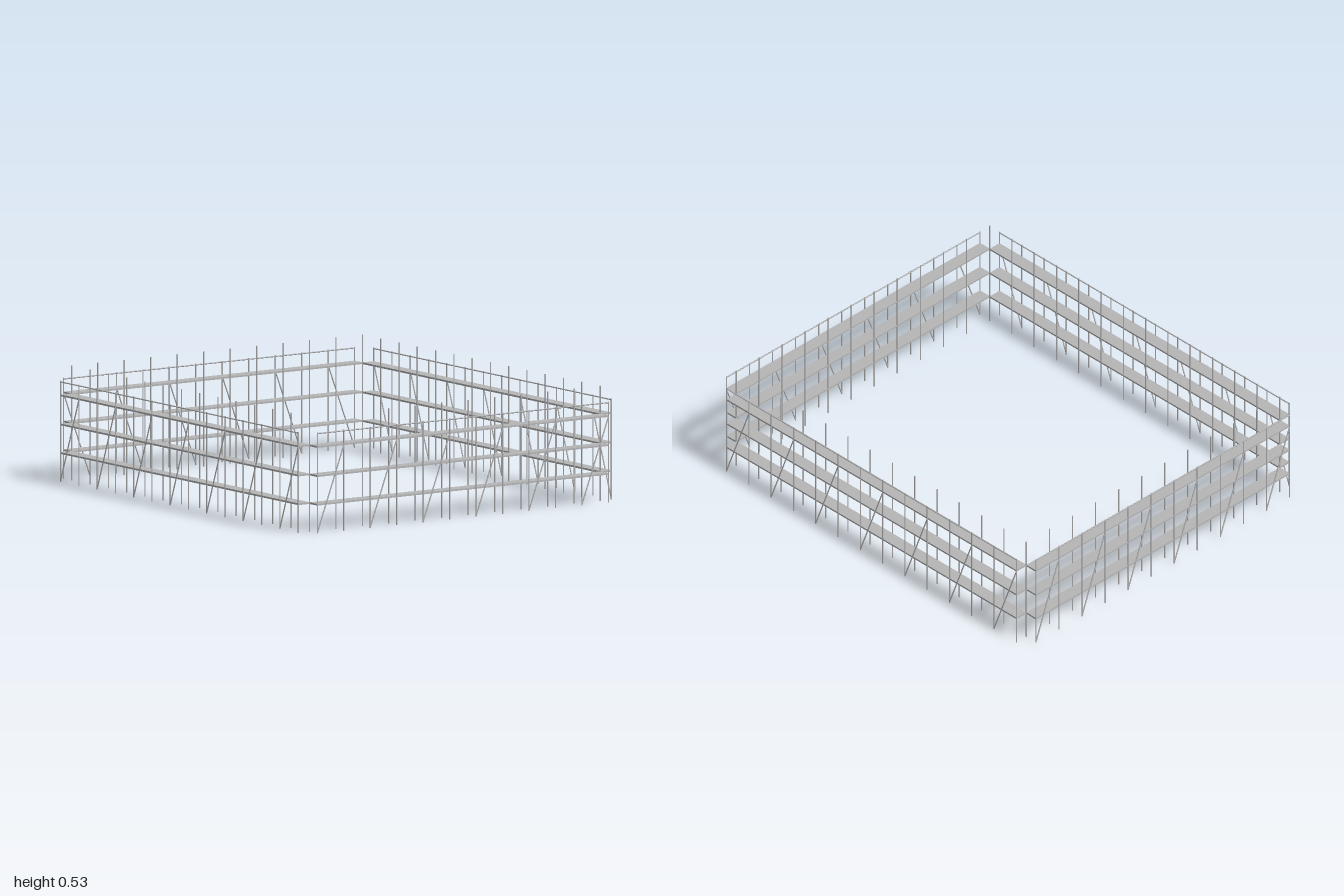
import * as THREE from 'three';

const POLE = 0.006; // pole diameter
const DEPTH = 0.062; // distance between inner and outer pole rows
const DECKS = [0.131, 0.262, 0.395];
const OUTER_TOP = 0.462, INNER_TOP = 0.526;

const steel = new THREE.MeshStandardMaterial({ color: 0xb6b6b6 });
steel.name = 'grey steel';

// Round pole between two points
function pole(name, a, b) {
  const from = new THREE.Vector3(...a), to = new THREE.Vector3(...b);
  const dir = to.clone().sub(from);
  const geo = new THREE.CylinderGeometry(POLE / 2, POLE / 2, dir.length(), 8);
  const mesh = new THREE.Mesh(geo, steel);
  mesh.name = name;
  mesh.position.copy(from).add(to).multiplyScalar(0.5);
  mesh.quaternion.setFromUnitVectors(new THREE.Vector3(0, 1, 0), dir.normalize());
  return mesh;
}

// One straight scaffold run along x, with its outer side facing +z
function scaffoldRun(name, length, bays) {
  const run = new THREE.Group();
  run.name = name;
  const half = length / 2, step = length / bays, zo = DEPTH / 2;

  // Walkway decks
  for (const y of DECKS) {
    const deck = new THREE.Mesh(new THREE.BoxGeometry(length, 0.008, DEPTH), steel);
    deck.name = 'deck';
    deck.position.y = y;
    run.add(deck);
  }

  // Standing poles, and a diagonal brace in every other bay
  for (let i = 0; i <= bays; i++) {
    const x = -half + i * step;
    run.add(pole('outerPost', [x, 0, zo], [x, OUTER_TOP, zo]));
    run.add(pole('innerPost', [x, 0, -zo], [x, INNER_TOP, -zo]));
    if (i % 2 === 0) run.add(pole('brace', [x, 0.004, zo], [x + step, 0.392, zo]));
  }

  // Guard rail above the top deck
  run.add(pole('guardRail', [-half, 0.457, zo], [half, 0.457, zo]));
  return run;
}

export function createModel() {
  const model = new THREE.Group();
  model.name = 'scaffolding';

  // Four runs around an open rectangle
  const runs = [
    ['frontRun', 1.866, 13, 0.834],
    ['leftRun', 1.608, 11, 0.966],
    ['backRun', 1.866, 13, 0.834],
    ['rightRun', 1.608, 11, 0.966],
  ];
  runs.forEach(([name, length, bays, distance], i) => {
    const run = scaffoldRun(name, length, bays);
    const angle = i * Math.PI / 2;
    run.rotation.y = angle;
    run.position.set(Math.sin(angle) * distance, 0, Math.cos(angle) * distance);
    model.add(run);
  });
  return model;
}
